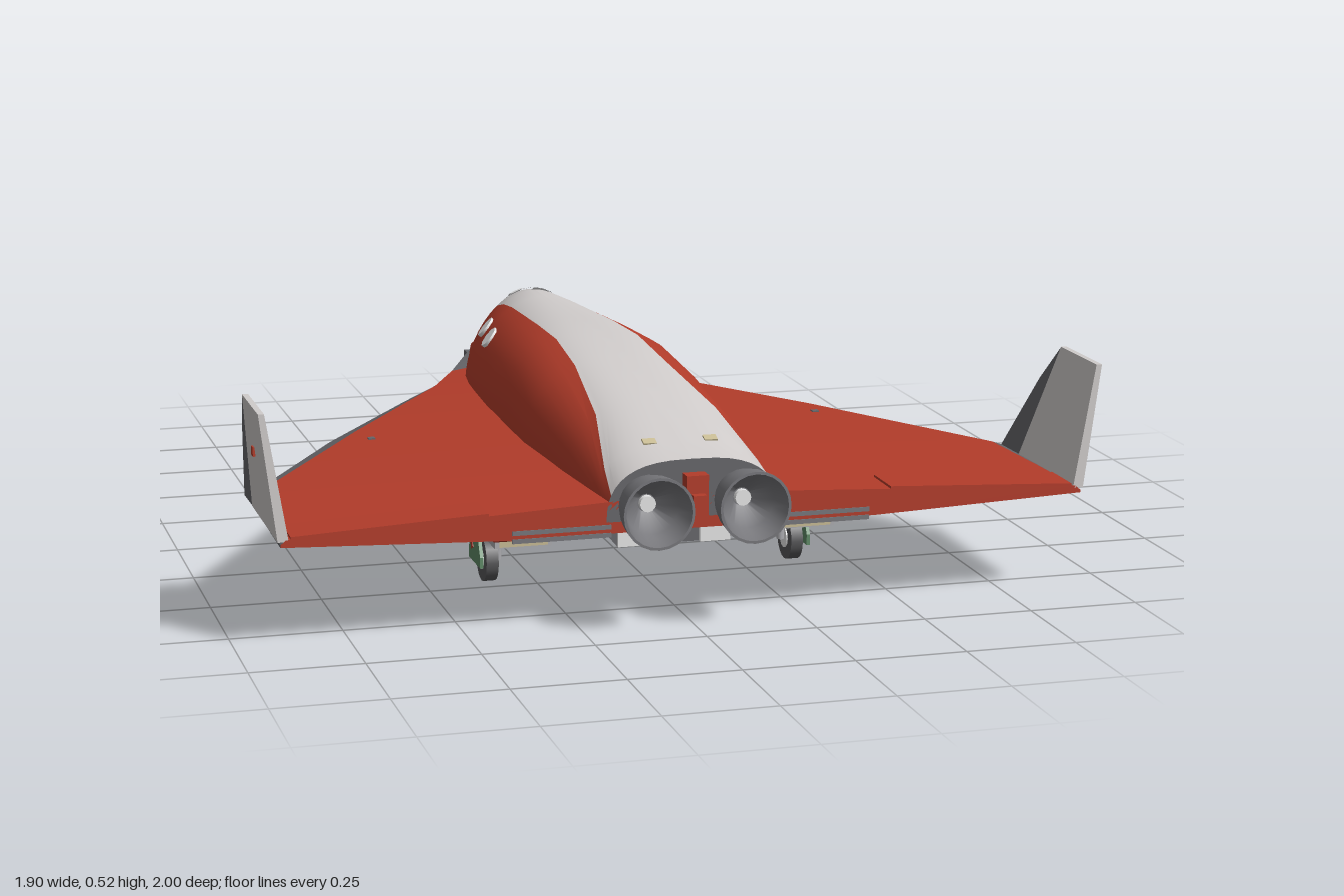
import * as THREE from 'three';
import { toCreasedNormals } from 'three/addons/utils/BufferGeometryUtils.js';

const mat = (name, color) => new THREE.MeshStandardMaterial({ name, color, side: THREE.DoubleSide });

// fuselage stations: z, half width, base y, top y, half width of the white spine, roundness
const BODY = [
  [-0.855, 0.085, 0.275, 0.298, 0.07, 1.2], [-0.75, 0.115, 0.268, 0.365, 0.075, 1.2], [-0.66, 0.14, 0.26, 0.427, 0.08, 1.15],
  [-0.58, 0.163, 0.255, 0.47, 0.08, 1.12], [-0.5, 0.184, 0.25, 0.484, 0.082, 1.1], [-0.4, 0.2, 0.25, 0.486, 0.085, 1],
  [-0.1, 0.222, 0.25, 0.49, 0.095, 0.8], [0.1, 0.228, 0.25, 0.49, 0.1, 0.7], [0.3, 0.23, 0.25, 0.47, 0.108, 0.7],
  [0.6, 0.215, 0.25, 0.435, 0.14, 0.7], [0.8, 0.2, 0.25, 0.385, 0.175, 0.7], [0.89, 0.195, 0.24, 0.37, 0.185, 0.7],
];
// hull and wing stations: z, edge x, edge y, inner x, inner y, keel x, keel y, centre top y
const HULL = [
  [-1, 0, 0.21, 0, 0.21, 0, 0.21, 0.21], [-0.98, 0.03, 0.21, 0.02, 0.228, 0.012, 0.187, 0.233],
  [-0.93, 0.065, 0.21, 0.045, 0.255, 0.04, 0.17, 0.265], [-0.85, 0.105, 0.215, 0.07, 0.285, 0.07, 0.16, 0.3],
  [-0.6, 0.22, 0.22, 0.195, 0.262, 0.13, 0.151, 0.29], [-0.42, 0.36, 0.23, 0.28, 0.266, 0.2, 0.163, 0.29],
  [0, 0.63, 0.24, 0.565, 0.264, 0.3, 0.17, 0.295], [0.46, 0.9, 0.243, 0.868, 0.254, 0.42, 0.171, 0.295],
  [0.7, 0.907, 0.243, 0.885, 0.252, 0.42, 0.182, 0.295], [0.89, 0.907, 0.24, 0.895, 0.25, 0.42, 0.215, 0.295],
];

// skin over a grid of points, rows of equal length
function loft(rows, crease = 0.6) {
  const n = rows[0].length, idx = [];
  for (let i = 0; i < rows.length - 1; i++) for (let j = 0; j < n - 1; j++) {
    const a = i * n + j, b = a + 1, c = a + n, d = c + 1;
    idx.push(a, b, c, b, d, c);
  }
  const g = new THREE.BufferGeometry();
  g.setAttribute('position', new THREE.Float32BufferAttribute(rows.flat(2), 3));
  g.setIndex(idx);
  return toCreasedNormals(g, crease);
}

// height of the fuselage skin at z and x
function skinY(z, x) {
  const i = Math.max(1, BODY.findIndex((r) => r[0] >= z));
  const a = BODY[i - 1], b = BODY[i], k = (z - a[0]) / (b[0] - a[0]);
  const [, w, yb, yt, , e] = a.map((v, j) => v + (b[j] - v) * k);
  const c = Math.min(1, (Math.abs(x) / w) ** (1 / e));
  return yb + (yt - yb) * Math.sqrt(1 - c * c) ** (e + 0.1);
}

export function createModel() {
  const model = new THREE.Group();
  const red = mat('red paint', 0xb23c2a), white = mat('white paint', 0xd0cccb), dark = mat('dark grey tiles', 0x66666a);
  const metal = mat('nozzle metal', 0x77777b), glass = mat('window', 0xf2f2f2), green = mat('green primer', 0x5f8a66);
  const rubber = mat('tyre', 0x58585a), tan = mat('tan panel', 0xc8bb94), grey = mat('light grey', 0xacacb0);

  const add = (name, geo, m, x = 0, y = 0, z = 0) => {
    const mesh = new THREE.Mesh(geo, m);
    mesh.name = name;
    mesh.position.set(x, y, z);
    model.add(mesh);
    return mesh;
  };
  const box = (name, m, w, h, d, x, y, z) => add(name, new THREE.BoxGeometry(w, h, d), m, x, y, z);
  // skins for both sides from a half description
  const pair = (name, rows, m, crease) => {
    for (const s of [1, -1])
      add((s > 0 ? 'left ' : 'right ') + name, loft(rows.map((r) => r.map(([x, y, z]) => [x * s, y, z])), crease), m);
  };

  // fuselage: red flanks and white spine on one rounded section
  const arc = ([z, w, yb, yt, xw, e], spine) => {
    const split = Math.acos((xw / w) ** (1 / e)), pts = [];
    for (let i = 0; i <= 8; i++) {
      const t = spine ? split + (Math.PI / 2 - split) * i / 8 : split * i / 8;
      pts.push([w * Math.max(0, Math.cos(t)) ** e, yb + (yt - yb) * Math.sin(t) ** (e + 0.1), z]);
    }
    return pts;
  };
  pair('fuselage flank', BODY.map((r) => arc(r, false)), red);
  pair('spine', BODY.map((r) => arc(r, true)), white);
  const end = BODY[BODY.length - 1];
  const rim = [...arc(end, false), ...arc(end, true)];
  pair('aft bulkhead', [rim, rim.map(([, y, z]) => [0, y, z])], dark);

  // nose, wing skins and leading edge
  const top = ([z, , , xi, yi, , , yc]) => [[0, yc, z], [xi, yi, z]];
  const edge = ([z, xe, ye, xi, yi]) => [[xi, yi, z], [xe, ye, z]];
  const under = ([z, xe, ye, , , xk, yk]) => {
    const k = 0.28;
    return [[xe, ye - 0.006, z], [xe + (xk - xe) * k, ye + (yk - ye) * k, z], [xk, yk, z], [0, yk, z]];
  };
  pair('nose and chine top', HULL.slice(0, 5).map(top), dark);
  pair('wing top', HULL.slice(4).map(top), red);
  pair('leading edge', HULL.map((r) => [...edge(r), under(r)[0], under(r)[1]]), dark, 0.4);
  pair('forward underside', HULL.slice(0, 6).map((r) => under(r).slice(1)), dark);
  pair('wing underside', HULL.slice(5).map((r) => under(r).slice(1, 3)), red);
  pair('keel', HULL.slice(5).map((r) => under(r).slice(2)), dark);
  const tail = HULL[HULL.length - 1], u = under(tail);
  pair('trailing edge', [[...top(tail), edge(tail)[1]], [u[3], u[2], u[0]]], red);

  // belly pod: z, top half width, bottom half width, bottom y
  const pod = [[-0.4, 0.07, 0.05, 0.157], [-0.22, 0.14, 0.075, 0.108], [0, 0.16, 0.085, 0.111],
    [0.55, 0.17, 0.105, 0.127], [0.74, 0.17, 0.13, 0.143]]
    .map(([z, wt, wb, y]) => [[wt, 0.19, z], [wb, y, z], [0, y, z]]);
  pair('belly pod', pod, white, 0.2);
  const last = pod[pod.length - 1];
  pair('belly pod rear', [last, last.map(([, y, z]) => [0, y, z])], dark);
  add('belly hatch', new THREE.CylinderGeometry(0.045, 0.045, 0.008, 16), tan, 0, 0.127, -0.29).rotation.x = 0.26;

  // light plates on the belly: rows of z, inner x, inner y, outer x, outer y
  const plate = (name, rows) => pair(name, rows.map(([z, a, ya, b, yb]) => [[a, ya, z], [b, yb, z]]), white);
  plate('belly plate', [[-0.32, 0.13, 0.155, 0.15, 0.158], [-0.2, 0.13, 0.14, 0.23, 0.163], [0.15, 0.14, 0.138, 0.28, 0.168], [0.28, 0.15, 0.14, 0.24, 0.168]]);
  plate('forward belly plate', [[-0.68, 0.07, 0.149, 0.1, 0.149], [-0.6, 0.07, 0.147, 0.125, 0.147], [-0.46, 0.09, 0.155, 0.16, 0.155]]);

  // winglets: leaning outward, with dark leading edge
  const lean = (y) => 0.9 + (y - 0.24) * 0.148;
  const fin = (name, m, pts, thick) => {
    const d = (y) => thick * (1 - (y - 0.24) * 1.6);
    const at = (s) => pts.map(([z, y]) => [lean(y) + s * d(y), y, z]);
    const [cz, cy] = [0, 1].map((i) => pts.reduce((sum, p) => sum + p[i], 0) / pts.length);
    const hub = (s) => pts.map(() => [lean(cy) + s * d(cy), cy, cz]);
    pair(name, [hub(1), at(1), at(-1), hub(-1)].map((r) => [...r, r[0]]), m, 0.1);
  };
  fin('winglet', white, [[0.89, 0.246], [0.89, 0.525], [0.69, 0.525], [0.57, 0.246]], 0.012);
  fin('winglet leading edge', dark, [[0.57, 0.246], [0.69, 0.525], [0.605, 0.435], [0.46, 0.243]], 0.011);

  // canopy panes laid just above the skin
  const pane = (z0, z1, a0, b0, a1, b1) => [[z0, a0, b0], [(z0 + z1) / 2, (a0 + a1) / 2, (b0 + b1) / 2], [z1, a1, b1]]
    .map(([z, a, b]) => [0, 0.5, 1].map((k) => { const x = a + (b - a) * k; return [x, skinY(z, x) + 0.006, z]; }));
  pair('windscreen', pane(-0.665, -0.615, 0.003, 0.015, 0.003, 0.046), glass);
  pair('side windscreen', pane(-0.605, -0.54, 0.014, 0.046, 0.02, 0.05), glass);
  pair('windscreen frame', pane(-0.612, -0.607, 0, 0.048, 0, 0.048), dark);
  pair('canopy frame', pane(-0.535, -0.529, 0, 0.055, 0, 0.055), dark);

  for (const s of [1, -1]) {
    // cabin windows
    for (const [x, z] of [[0.138, -0.45], [0.158, -0.33]]) {
      const y = skinY(z, x), e = 0.004;
      const n = new THREE.Vector3(-s * (skinY(z, x + e) - skinY(z, x - e)) / (2 * e), 1.15, -(skinY(z + e, x) - skinY(z - e, x)) / (2 * e)).normalize();
      const w = add('cabin window', new THREE.CylinderGeometry(0.028, 0.028, 0.009, 8), glass, s * x, y, z);
      w.quaternion.setFromUnitVectors(new THREE.Vector3(0, 1, 0), n);
      w.position.addScaledVector(n, 0.002);
    }
    // rocket nozzle, open to the rear
    const bell = [[0.055, 0], [0.066, 0.03], [0.075, 0.07], [0.08, 0.12], [0.074, 0.12], [0.06, 0.06], [0.02, 0.015], [0, 0.015]];
    add('engine nozzle', toCreasedNormals(new THREE.LatheGeometry(bell.map((p) => new THREE.Vector2(...p)), 24), 0.7), metal, s * 0.108, 0.28, 0.88).rotation.x = Math.PI / 2;
    add('nozzle throat', new THREE.CylinderGeometry(0.018, 0.018, 0.02, 12), glass, s * 0.108, 0.28, 0.9).rotation.x = Math.PI / 2;

    // control surface and rear details
    box('elevon', red, 0.43, 0.008, 0.11, s * 0.67, 0.263, 0.835).rotation.z = -s * 0.05;
    for (const y of [0.212, 0.23]) box('trailing edge strip', metal, 0.22, 0.01, 0.006, s * 0.295, y, 0.889);
    box('pod vent', glass, 0.07, 0.04, 0.02, s * 0.095, 0.163, 0.74);
    box('spine fitting', tan, 0.03, 0.004, 0.02, s * 0.07, skinY(0.785, 0.07) + 0.002, 0.785).rotation.x = 0.35;
    box('nose thruster', dark, 0.025, 0.03, 0.05, s * 0.08, 0.235, -0.88);
    box('wing port', dark, 0.016, 0.006, 0.016, s * 0.55, 0.266, 0.1);
    box('winglet light', red, 0.006, 0.02, 0.02, s * 0.936, 0.412, 0.745);

    // main gear bay, doors, leg and wheel
    const bay = [[0.34, 0.17], [0.45, 0.16], [0.7, 0.16], [0.86, 0.205]]
      .map(([z, y]) => [[s * 0.23, 0.215, z], [s * 0.26, y, z], [s * 0.4, y, z], [s * 0.44, 0.215, z]]);
    add('gear fairing', loft(bay, 0.2), red);
    box('gear bay frame', grey, 0.13, 0.022, 0.13, s * 0.33, 0.153, 0.625);
    box('gear bay panel', tan, 0.11, 0.018, 0.006, s * 0.33, 0.154, 0.69);
    box('gear bay floor', tan, 0.1, 0.004, 0.08, s * 0.33, 0.141, 0.63);
    const door = new THREE.Shape([[-0.02, 0.145], [0.02, 0.145], [0.055, 0.08], [0.055, 0.055], [-0.055, 0.055], [-0.055, 0.08]].map((p) => new THREE.Vector2(...p)));
    add('gear door', new THREE.ExtrudeGeometry(door, { depth: 0.008, bevelEnabled: false }), green, s * 0.388 - 0.004, 0, 0.48).rotation.y = Math.PI / 2;
    box('gear door edge', red, 0.009, 0.045, 0.018, s * 0.389, 0.105, 0.452).rotation.x = -0.45;
    add('main gear leg', new THREE.CylinderGeometry(0.009, 0.009, 0.1, 8), grey, s * 0.338, 0.11, 0.48);
    add('main wheel', new THREE.CylinderGeometry(0.052, 0.052, 0.028, 20), rubber, s * 0.362, 0.064, 0.48).rotation.z = Math.PI / 2;
    add('main wheel hub', new THREE.CylinderGeometry(0.025, 0.025, 0.034, 12), glass, s * 0.362, 0.064, 0.48).rotation.z = Math.PI / 2;

    // twin nose wheels
    add('nose wheel', new THREE.CylinderGeometry(0.025, 0.025, 0.014, 16), rubber, s * 0.015, 0.026, -0.77).rotation.z = Math.PI / 2;
    add('nose wheel hub', new THREE.CylinderGeometry(0.013, 0.013, 0.018, 10), glass, s * 0.015, 0.026, -0.77).rotation.z = Math.PI / 2;
  }
  add('nose gear leg', new THREE.CylinderGeometry(0.006, 0.006, 0.14, 8), metal, 0, 0.095, -0.77);
  box('nose gear bay', green, 0.045, 0.006, 0.1, 0, 0.155, -0.76);
  box('engine divider', red, 0.05, 0.11, 0.05, 0, 0.285, 0.9);
  box('engine divider tip', red, 0.03, 0.03, 0.04, 0, 0.285, 0.925);
  return model;
}
